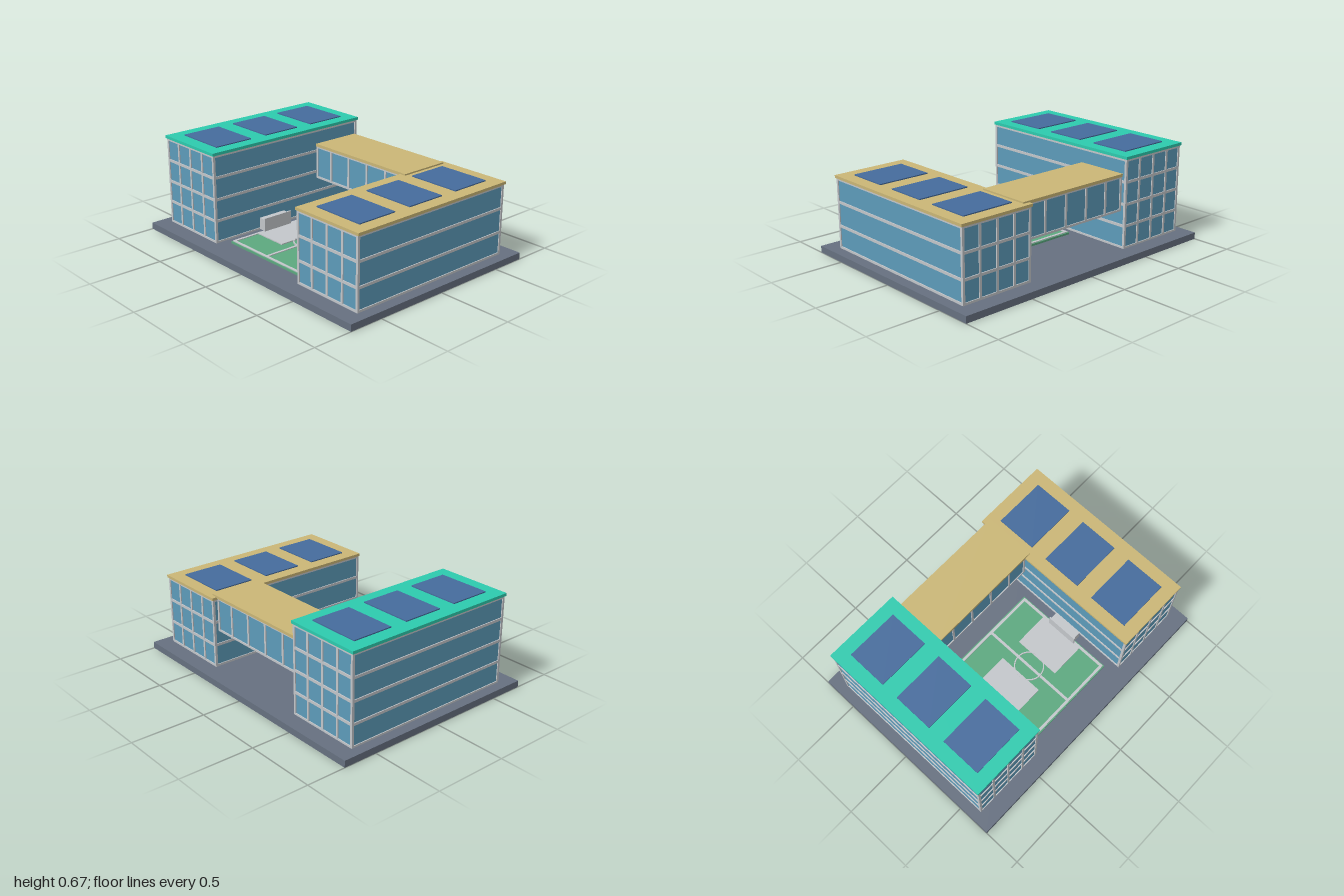
import * as THREE from 'three';

const mat = (name, color) => {
  const m = new THREE.MeshStandardMaterial({ color });
  m.name = name;
  return m;
};

export function createModel() {
  const paving = mat('slate paving', 0x667080);
  const glass = mat('blue glass', 0x5d9bb9);
  const frame = mat('pale grey frame', 0xc3c6ca);
  const teal = mat('teal roof', 0x2dcaae);
  const tan = mat('tan roof', 0xcab676);
  const solar = mat('solar blue', 0x456b9c);
  const turf = mat('court green', 0x5ca87f);

  const model = new THREE.Group();
  model.name = 'campus';

  const group = (name) => {
    const g = new THREE.Group();
    g.name = name;
    model.add(g);
    return g;
  };

  // Box given by its limits on each axis
  const box = (parent, name, material, [x0, x1], [y0, y1], [z0, z1]) => {
    const mesh = new THREE.Mesh(new THREE.BoxGeometry(x1 - x0, y1 - y0, z1 - z0), material);
    mesh.position.set((x0 + x1) / 2, (y0 + y1) / 2, (z0 + z1) / 2);
    mesh.name = name;
    parent.add(mesh);
    return mesh;
  };

  // Glazed block wrapped by floor bands, with mullions on its front and back
  const glazedBlock = (parent, [x0, x1], [z0, z1], bands, mullions) => {
    const d = 0.006, w = 0.016;
    const y0 = bands[0][0], y1 = bands[bands.length - 1][1];
    box(parent, 'glassCore', glass, [x0 + d, x1 - d], [y0 + 0.002, y1 - 0.002], [z0 + d, z1 - d]);
    bands.forEach((band) => box(parent, 'floorBand', frame, [x0, x1], band, [z0, z1]));
    mullions.forEach((x) => {
      const cx = Math.min(Math.max(x, x0 + w / 2), x1 - w / 2);
      for (const [a, b] of [[z0, z0 + w], [z1 - w, z1]]) {
        box(parent, 'mullion', frame, [cx - w / 2, cx + w / 2], [y0, y1], [a, b]);
      }
    });
  };

  // Ground slab
  box(model, 'groundSlab', paving, [-1, 1], [0, 0.045], [-0.735, 0.735]);

  // Two wings with roofs and solar panels
  const wing = (name, body, roof, roofY, panelX, bands, roofMaterial) => {
    const g = group(name);
    const mullions = [0, 1, 2, 3, 4].map((i) => body[0] + ((body[1] - body[0]) * i) / 4);
    glazedBlock(g, body, [-0.623, 0.62], bands, mullions);
    box(g, 'roof', roofMaterial, roof, roofY, [-0.63, 0.626]);
    for (const z of [[-0.54, -0.26], [-0.14, 0.135], [0.255, 0.535]]) {
      box(g, 'solarPanel', solar, panelX, [roofY[1] - 0.002, roofY[1] + 0.007], z);
    }
  };
  wing('tallWing', [-0.932, -0.41], [-0.94, -0.404], [0.643, 0.662], [-0.85, -0.488],
    [[0.045, 0.058], [0.188, 0.206], [0.334, 0.352], [0.482, 0.5], [0.628, 0.644]], teal);
  wing('lowWing', [0.407, 0.928], [0.401, 0.936], [0.518, 0.536], [0.486, 0.849],
    [[0.045, 0.06], [0.19, 0.208], [0.35, 0.368], [0.504, 0.519]], tan);

  // Raised bridge between the wings
  const bridge = group('bridge');
  glazedBlock(bridge, [-0.412, 0.41], [-0.588, -0.248], [[0.295, 0.309], [0.514, 0.528]],
    [-0.404, -0.263, -0.09, 0.085, 0.258, 0.402]);
  box(bridge, 'bridgeRoof', tan, [-0.406, 0.446], [0.527, 0.546], [-0.597, -0.24]);

  // Sports court and its markings
  const court = group('court');
  const cx = -0.002, cz = 0.178;
  box(court, 'courtSurface', turf, [-0.35, 0.346], [0.045, 0.059], [-0.19, 0.546]);
  const lineY = [0.057, 0.064];
  for (const x of [-0.344, -0.011, 0.322]) {
    box(court, 'courtLine', frame, [x, x + 0.018], lineY, [-0.182, 0.538]);
  }
  for (const z of [-0.182, 0.52]) {
    box(court, 'courtLine', frame, [-0.344, 0.34], lineY, [z, z + 0.018]);
  }
  box(court, 'leftKey', frame, [-0.326, -0.082], [0.057, 0.066], [0.01, 0.34]);
  box(court, 'rightKey', frame, [0.078, 0.322], [0.057, 0.066], [0.01, 0.34]);

  // Centre circle
  const ring = new THREE.Shape().absarc(0, 0, 0.102, 0, Math.PI * 2);
  ring.holes.push(new THREE.Path().absarc(0, 0, 0.094, 0, Math.PI * 2, true));
  const circle = new THREE.Mesh(
    new THREE.ExtrudeGeometry(ring, { depth: 0.009, bevelEnabled: false, curveSegments: 24 }), frame);
  circle.rotation.x = -Math.PI / 2;
  circle.position.set(cx, 0.059, cz);
  circle.name = 'centreCircle';
  court.add(circle);

  // Goal stands, mirrored across the court
  for (const s of [-1, 1]) {
    const span = (a, b) => (s < 0 ? [-b, -a] : [a, b]);
    const side = s < 0 ? 'right' : 'left';
    box(court, side + 'GoalStand', frame, span(0.329, 0.384), [0.064, 0.143], [0.073, 0.281]);
    box(court, side + 'GoalBoard', frame, span(0.319, 0.33), [0.058, 0.156], [0.065, 0.288]);
  }

  return model;
}
